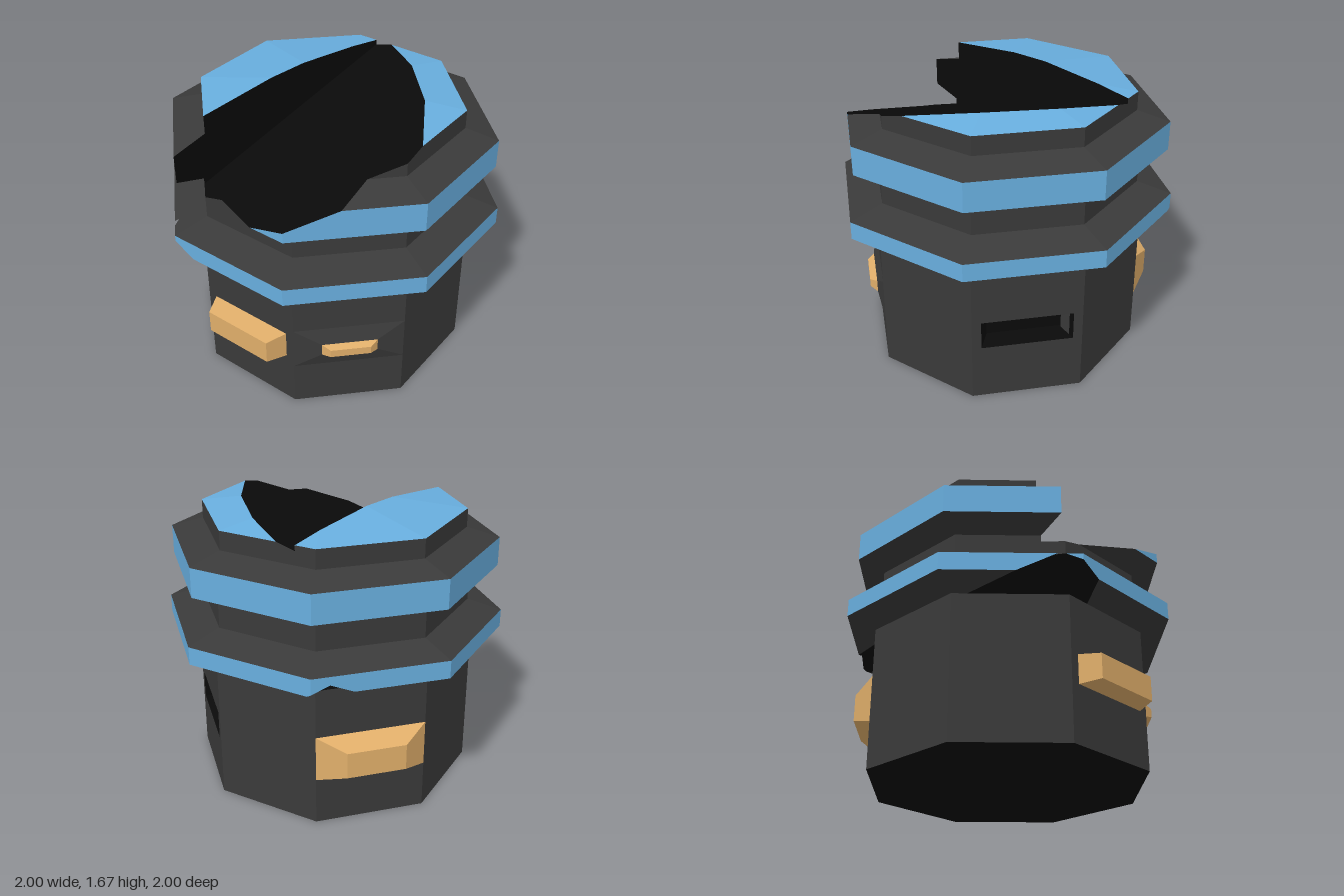
import * as THREE from 'three';

const material = (name, color, side = THREE.FrontSide) => {
  const m = new THREE.MeshStandardMaterial({ color, side });
  m.name = name;
  return m;
};
const V = (x, y, z) => new THREE.Vector3(x, y, z);
const SIDES = 8, STEP = (Math.PI * 2) / SIDES;
const BODY_R = 0.83, BODY_H = 0.84;

// Flat-shaded mesh from a list of convex polygons.
function polyMesh(name, polys, mat) {
  const pos = [];
  for (const p of polys)
    for (let i = 1; i + 1 < p.length; i++)
      for (const v of [p[0], p[i], p[i + 1]]) pos.push(v.x, v.y, v.z);
  const g = new THREE.BufferGeometry();
  g.setAttribute('position', new THREE.Float32BufferAttribute(pos, 3));
  g.computeVertexNormals();
  const mesh = new THREE.Mesh(g, mat);
  mesh.name = name;
  return mesh;
}

// Half-spaces are {n, c}: the kept side is n.p <= c.
const plane = (x, y, z, c) => ({ n: V(x, y, z), c });
const flip = (h) => ({ n: h.n.clone().negate(), c: -h.c });
function clip(poly, h) {
  const out = [];
  poly.forEach((a, i) => {
    const b = poly[(i + 1) % poly.length];
    const da = h.n.dot(a) - h.c, db = h.n.dot(b) - h.c;
    if (da <= 0) out.push(a);
    if (da * db < 0) out.push(a.clone().lerp(b, da / (da - db)));
  });
  return out;
}
const clipAll = (poly, hs) => hs.reduce((p, h) => clip(p, h), poly);

// Large quad lying on a plane, facing along its normal.
function bigQuad(h) {
  const n = h.n.clone().normalize();
  const o = n.clone().multiplyScalar(h.c / h.n.length());
  const q = new THREE.Quaternion().setFromUnitVectors(V(0, 0, 1), n);
  return [[-4, -4], [4, -4], [4, 4], [-4, 4]].map(([x, y]) => V(x, y, 0).applyQuaternion(q).add(o));
}

// Side quads of one octagonal tier.
const ringPoint = (r, y, k) => V(r * Math.sin(k * STEP), y, r * Math.cos(k * STEP));
const tierSides = ([r0, y0], [r1, y1]) => Array.from({ length: SIDES }, (_, k) =>
  [ringPoint(r0, y0, k), ringPoint(r0, y0, k + 1), ringPoint(r1, y1, k + 1), ringPoint(r1, y1, k)]);

// Tier with a two-plane wedge cut out: remaining sides and the exposed cut faces.
function cutTier(lo, hi, [A, B]) {
  const sides = tierSides(lo, hi);
  const solid = sides.map((p) => {
    const n = p[1].clone().sub(p[0]).cross(p[3].clone().sub(p[0])).normalize();
    return { n, c: n.dot(p[0]) };
  });
  solid.push(plane(0, 1, 0, hi[1]), plane(0, -1, 0, -lo[1]));
  return {
    shell: sides.flatMap((p) => [clip(p, A), clipAll(p, [flip(A), B])]),
    caps: [clipAll(bigQuad(A), [...solid, flip(B)]), clipAll(bigQuad(B), [...solid, flip(A)])],
  };
}

// Local frame on a body facet: u along the wall, y up, d outward.
const facet = (deg) => (u, y, d) => {
  const a = THREE.MathUtils.degToRad(deg), r = BODY_R * Math.cos(STEP / 2) + d;
  return V(r * Math.sin(a) + u * Math.cos(a), y, r * Math.cos(a) - u * Math.sin(a));
};
// Tapered block (or recess) between two rectangles [halfWidth, yLow, yHigh, d].
function taper(at, base, end, closed = true) {
  const loop = ([u, a, b, d]) => [at(-u, a, d), at(u, a, d), at(u, b, d), at(-u, b, d)];
  const p = loop(base), q = loop(end);
  const polys = p.map((v, i) => [v, p[(i + 1) % 4], q[(i + 1) % 4], q[i]]);
  if (closed) polys.push(q);
  return polys;
}

export function createModel() {
  const group = new THREE.Group();
  group.name = 'octagonalTower';
  const grey = material('dark grey', 0x3a3a3a);
  const blue = material('sky blue', 0x68aede);
  const gold = material('tan gold', 0xe0ae6a);
  const black = material('black', 0x0a0a0a, THREE.DoubleSide);
  const add = (name, polys, mat) => group.add(polyMesh(name, polys, mat));

  // Body walls; the facet with the slot is framed separately.
  const SLOT = 2;
  const half = BODY_R * Math.sin(STEP / 2);
  add('bodyWalls', tierSides([BODY_R, 0], [BODY_R, BODY_H]).filter((_, k) => k !== SLOT), grey);
  const slotAt = facet(112.5);
  const mouth = [0.264, 0.335, 0.505, 0];
  add('slotWall', taper(slotAt, [half, 0, BODY_H, 0], mouth, false), grey);
  add('slotRecess', taper(slotAt, mouth, [0.215, 0.345, 0.495, -0.118]), black);
  const edge = (t, y) => slotAt(0.26 - 0.049 * t, y, -0.118 * t);
  add('slotStrip', [[edge(0.25, 0.34), edge(0.25, 0.5), edge(0.9, 0.495), edge(0.9, 0.345)]], grey);

  // Closed floor and deck of the body.
  const disc = (y) => Array.from({ length: SIDES }, (_, k) => ringPoint(BODY_R, y, k));
  add('bodyFloor', [disc(0).reverse()], black);
  add('bodyDeck', [disc(BODY_H)], black);

  // Blocks on the walls.
  add('frontBlock', taper(facet(-22.5), mouth, [0.215, 0.348, 0.492, 0.118]), gold);
  const frontAt = facet(22.5);
  add('frontPanel', taper(frontAt, [half, 0.28, 0.55, 0], [0.16, 0.38, 0.455, 0.03], false), grey);
  add('frontStud', taper(frontAt, [0.16, 0.38, 0.455, 0.03], [0.115, 0.393, 0.442, 0.07]), gold);
  add('backBlock', taper(facet(202.5), [half, 0.28, 0.55, 0], [0.17, 0.335, 0.49, 0.11]), gold);

  // Stacked tiers, each gashed by a wedge.
  const lowerGash = [plane(1.44, -2.51, 0.7, -3.198), plane(-0.532, -1, -0.187, -0.721)];
  const upperGash = [plane(0.848, 0, 0.531, -0.289), plane(-0.349, 1, 0.1216, 1.457)];
  const profile = [[0.83, 0.84], [1, 0.895], [1, 1], [0.8, 1.06], [0.8, 1.225],
    [0.96, 1.28], [0.96, 1.45], [0.77, 1.505], [0.77, 1.615], [0, 1.71]];
  const tiers = [
    ['lowerRingUnderside', grey], ['lowerRingBand', blue], ['lowerRingTop', grey],
    ['neck', grey], ['upperRingUnderside', grey], ['upperRingBand', blue],
    ['upperRingTop', grey], ['crown', grey], ['roof', blue]];
  const gashFaces = [];
  tiers.forEach(([name, mat], i) => {
    const { shell, caps } = cutTier(profile[i], profile[i + 1], i < 3 ? lowerGash : upperGash);
    add(name, shell, mat);
    gashFaces.push(...caps);
  });
  add('gashFaces', gashFaces, black);
  return group;
}
